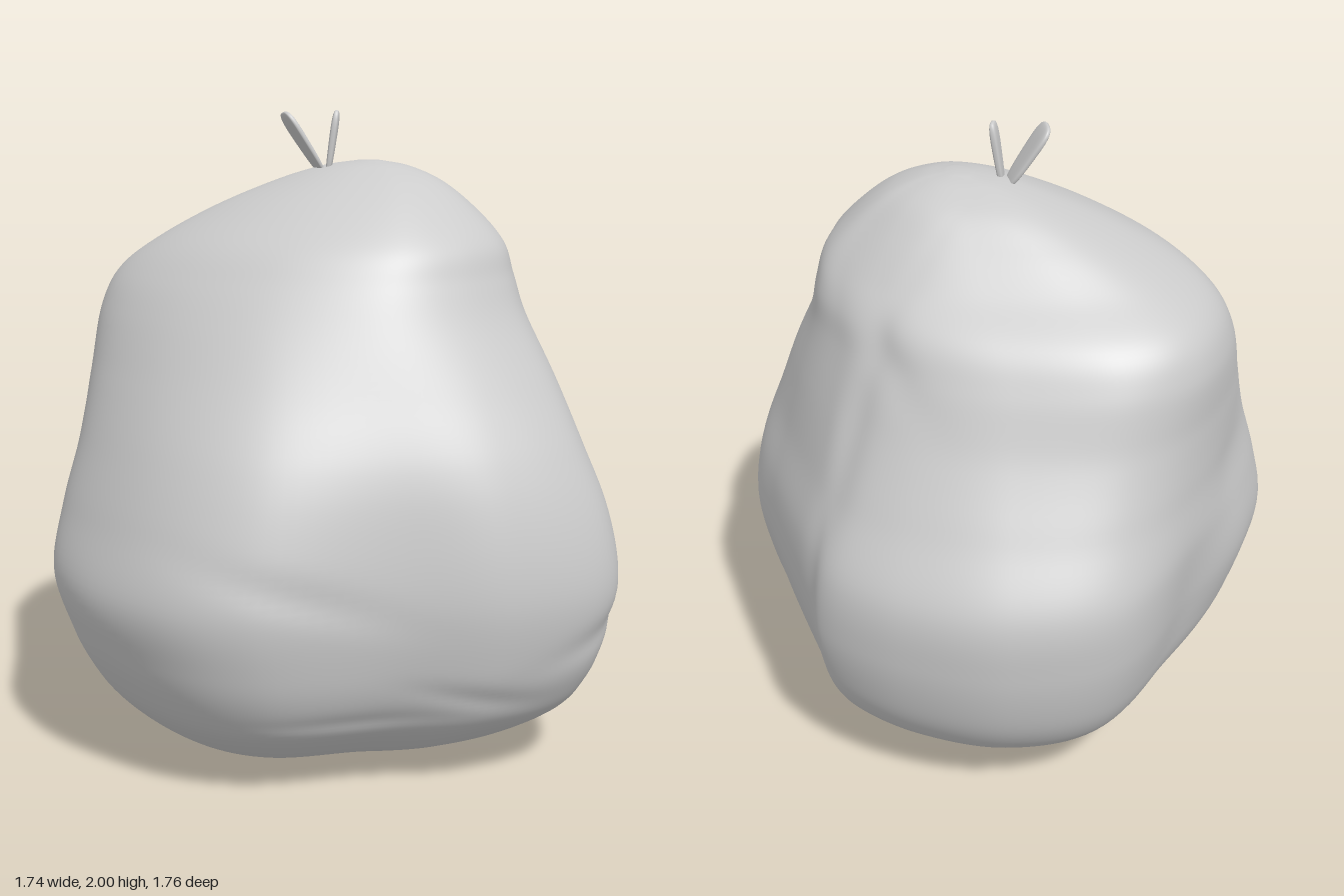
import * as THREE from 'three';

const material = new THREE.MeshStandardMaterial({ color: 0xcccccc, side: THREE.DoubleSide });

// Height, x min, x max, z min, z max of the sack at each level
const levels = [
  [0.002, -0.22, 0.18, -0.22, 0.24], [0.01, -0.38, 0.33, -0.38, 0.4],
  [0.04, -0.49, 0.47, -0.46, 0.5], [0.1, -0.59, 0.595, -0.565, 0.62],
  [0.2, -0.695, 0.725, -0.695, 0.75], [0.3, -0.765, 0.79, -0.785, 0.815],
  [0.42, -0.82, 0.835, -0.84, 0.855], [0.6, -0.87, 0.867, -0.875, 0.88],
  [0.8, -0.83, 0.84, -0.872, 0.86], [1.0, -0.77, 0.77, -0.77, 0.81],
  [1.2, -0.72, 0.705, -0.67, 0.72], [1.38, -0.675, 0.64, -0.61, 0.635],
  [1.5, -0.61, 0.615, -0.54, 0.577], [1.6, -0.49, 0.58, -0.4, 0.52],
  [1.7, -0.31, 0.49, -0.28, 0.41], [1.78, -0.12, 0.39, -0.17, 0.29],
  [1.825, 0.02, 0.29, -0.06, 0.18], [1.843, 0.13, 0.2, 0.02, 0.1],
];

// Plan outlines (x, z) of the three-lobed belly and the slanted shoulder
const bellyPlan = [[0.8, 0], [0.86, 0.33], [0.75, 0.73], [0.4, 0.87], [0.05, 0.845],
  [-0.4, 0.83], [-0.69, 0.62], [-0.87, 0.2], [-0.77, -0.15], [-0.53, -0.5],
  [-0.24, -0.82], [0.1, -0.875], [0.42, -0.76], [0.64, -0.58], [0.69, -0.42]];
const shoulderPlan = [[0.61, 0], [0.59, 0.2], [0.5, 0.4], [0.32, 0.53], [0.08, 0.575],
  [-0.22, 0.46], [-0.44, 0.27], [-0.58, 0.02], [-0.61, -0.22], [-0.48, -0.48],
  [-0.25, -0.55], [0.08, -0.49], [0.3, -0.41], [0.45, -0.29], [0.55, -0.14]];

// Soft folds: angle, height, angular width, vertical width, slant, depth
const folds = [
  [1.65, 0.25, 0.35, 0.03, 0, -0.008], [1.2, 0.31, 0.2, 0.035, 0.2, -0.01],
  [1.85, 0.66, 0.3, 0.05, 0.25, -0.01], [0.75, 0.48, 0.2, 0.05, -0.3, -0.012],
  [0.6, 0.36, 0.14, 0.04, 0.1, -0.008], [0.35, 1.5, 0.1, 0.12, 0, -0.01],
  [5.65, 1.05, 0.1, 0.4, 0, -0.018], [5.6, 1.45, 0.3, 0.08, 0.4, -0.012],
  [3.95, 0.6, 0.25, 0.25, 0, -0.025], [3.5, 0.9, 0.25, 0.18, 0, -0.02],
  [2.6, 0.5, 0.2, 0.15, 0, 0.01],
];

function closedCurve(points) {
  return new THREE.CatmullRomCurve3(points.map(([x, z]) => new THREE.Vector3(x, 0, z)),
    true, 'catmullrom', 0.5);
}

function levelCurve(a, b) {
  return new THREE.CatmullRomCurve3(levels.map(l => new THREE.Vector3(l[0], l[a], l[b])),
    false, 'catmullrom', 0.5);
}

function foldDepth(angle, y) {
  let sum = 0;
  for (const [fa, fy, wa, wy, slant, depth] of folds) {
    const da = Math.atan2(Math.sin(angle - fa), Math.cos(angle - fa));
    const dy = y - fy - slant * da;
    sum += depth * Math.exp(-((da / wa) ** 2) - (dy / wy) ** 2);
  }
  return sum;
}

// Sack: lofted rings, each fitted to the width and depth of its level
function sackGeometry() {
  const rows = 136, cols = 150;
  const belly = closedCurve(bellyPlan), shoulder = closedCurve(shoulderPlan);
  const xs = levelCurve(1, 2), zs = levelCurve(3, 4);
  const position = [], index = [];
  for (let i = 0; i <= rows; i++) {
    const fx = xs.getPoint(i / rows), fz = zs.getPoint(i / rows), y = fx.x;
    const blend = THREE.MathUtils.smoothstep(y, 0.5, 1.7);
    const ring = [];
    for (let j = 0; j < cols; j++) {
      ring.push(belly.getPoint(j / cols).lerp(shoulder.getPoint(j / cols), blend));
    }
    const box = new THREE.Box3().setFromPoints(ring);
    for (const p of ring) {
      const x = THREE.MathUtils.mapLinear(p.x, box.min.x, box.max.x, fx.y, fx.z);
      const z = THREE.MathUtils.mapLinear(p.z, box.min.z, box.max.z, fz.y, fz.z);
      const angle = Math.atan2(z, x), d = foldDepth(angle, y);
      position.push(x + d * Math.cos(angle), y, z + d * Math.sin(angle));
    }
  }
  for (let i = 0; i < rows; i++) {
    for (let j = 0; j < cols; j++) {
      const a = i * cols + j, b = i * cols + (j + 1) % cols;
      index.push(a, a + cols, b, b, a + cols, b + cols);
    }
  }
  // Close the base and the crown
  const base = position.length / 3, crown = base + 1, last = rows * cols;
  position.push(-0.02, 0, 0.01, 0.165, 1.845, 0.06);
  for (let j = 0; j < cols; j++) {
    const k = (j + 1) % cols;
    index.push(base, j, k, crown, last + k, last + j);
  }
  const geometry = new THREE.BufferGeometry();
  geometry.setAttribute('position', new THREE.Float32BufferAttribute(position, 3));
  geometry.setIndex(index);
  geometry.computeVertexNormals();
  return geometry;
}

// Leaf: flat blade with blunt, rounded corners, leaning from foot to tip
function makeLeaf(name, foot, tip, width, thickness, turn) {
  const length = foot.distanceTo(tip);
  const blunt = v => Math.sign(v) * Math.abs(2 * v) ** 0.6 / 2;
  const geometry = new THREE.SphereGeometry(0.5, 28, 20);
  const p = geometry.attributes.position;
  for (let i = 0; i < p.count; i++) {
    const t = blunt(p.getY(i)) + 0.5;
    const taper = 0.7 + 0.3 * t;
    p.setXYZ(i, blunt(p.getX(i)) * thickness * taper, t * length, blunt(p.getZ(i)) * width * taper);
  }
  geometry.rotateY(turn);
  geometry.computeVertexNormals();
  const leaf = new THREE.Mesh(geometry, material);
  leaf.name = name;
  leaf.position.copy(foot);
  leaf.quaternion.setFromUnitVectors(new THREE.Vector3(0, 1, 0), tip.clone().sub(foot).normalize());
  return leaf;
}

export function createModel() {
  const model = new THREE.Group();
  model.name = 'pearShapedSack';
  const sack = new THREE.Mesh(sackGeometry(), material);
  sack.name = 'sack';
  model.add(sack);
  model.add(makeLeaf('largeLeaf', new THREE.Vector3(0.02, 1.8, 0.025),
    new THREE.Vector3(-0.105, 1.992, 0.016), 0.115, 0.026, 0.1));
  model.add(makeLeaf('smallLeaf', new THREE.Vector3(0.03, 1.79, 0.045),
    new THREE.Vector3(0.06, 1.998, 0.048), 0.065, 0.026, -0.3));
  return model;
}
